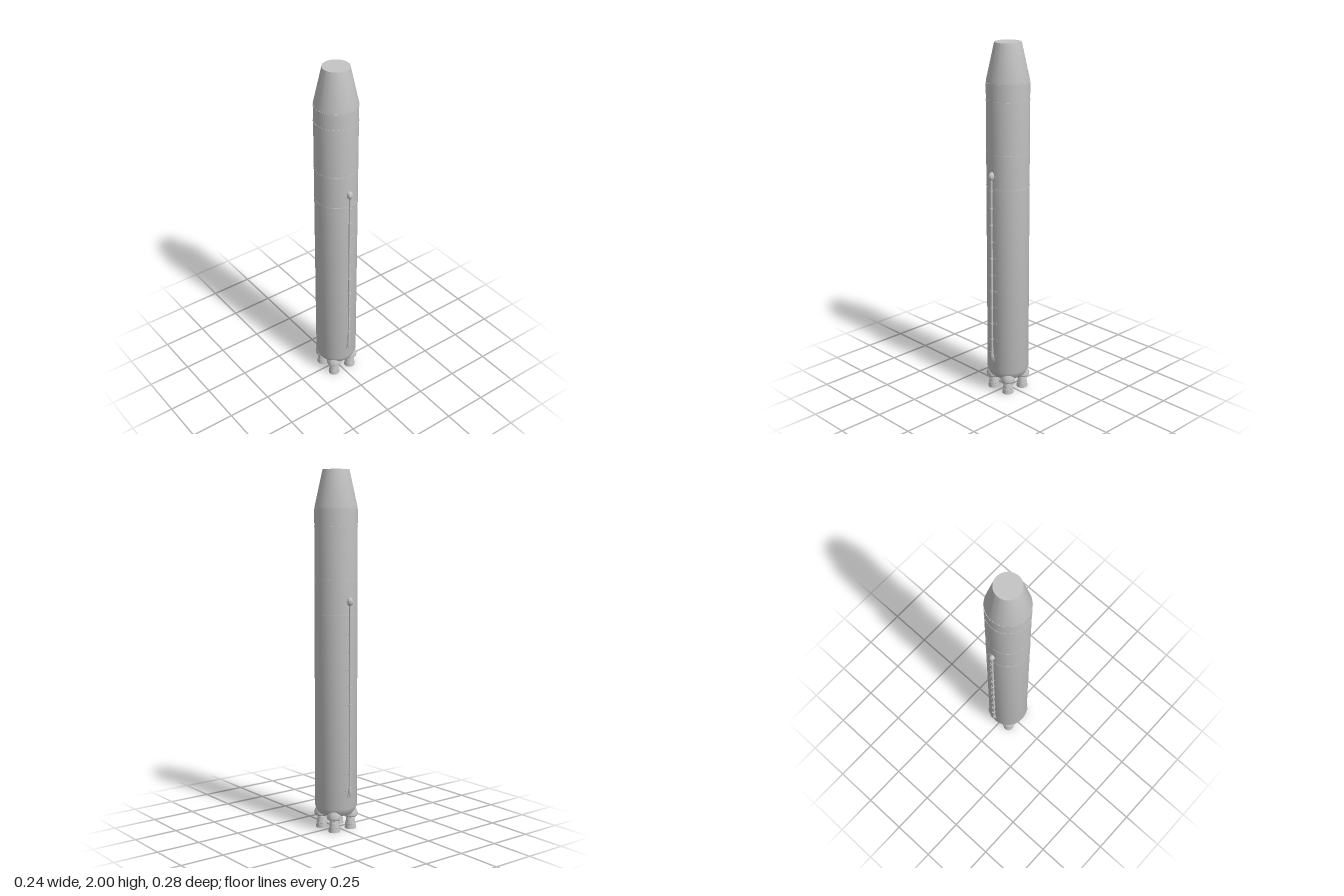
import * as THREE from 'three';
import { toCreasedNormals } from 'three/addons/utils/BufferGeometryUtils.js';

const grey = new THREE.MeshStandardMaterial({ color: 0xc4c4c4 });
grey.name = 'light grey';

function add(parent, name, geometry, x = 0, y = 0, z = 0) {
  const mesh = new THREE.Mesh(geometry, grey);
  mesh.name = name;
  mesh.position.set(x, y, z);
  parent.add(mesh);
  return mesh;
}

// Profile runs from bottom to top
function lathe(points, segments) {
  const profile = points.map(([r, y]) => new THREE.Vector2(r, y));
  return toCreasedNormals(new THREE.LatheGeometry(profile, segments), 0.5);
}

function strut(a, b, radius) {
  const path = new THREE.LineCurve3(new THREE.Vector3(...a), new THREE.Vector3(...b));
  return new THREE.TubeGeometry(path, 1, radius, 8);
}

// Rounded skirt, throat and bell nozzle
function createEngine() {
  const engine = new THREE.Group();
  engine.name = 'engine';
  add(engine, 'engineSkirt', lathe([
    [0, 0.070], [0.034, 0.070], [0.041, 0.077], [0.042, 0.088], [0.036, 0.108], [0.022, 0.135], [0, 0.145],
  ], 28));
  add(engine, 'engineThroat', lathe([[0.024, 0.052], [0.024, 0.06], [0.018, 0.072]], 24));
  add(engine, 'nozzle', lathe([
    [0, 0.052], [0.019, 0.048], [0.026, 0.024], [0.030, 0],
    [0.032, 0], [0.0315, 0.01], [0.028, 0.03], [0.025, 0.052], [0.018, 0.06],
  ], 28));
  add(engine, 'nozzleBand', new THREE.TorusGeometry(0.0285, 0.0015, 6, 24), 0, 0.028, 0).rotation.x = Math.PI / 2;
  return engine;
}

// External feed line with domed head, clamps and forked foot
function createFeedLine() {
  const line = new THREE.Group();
  line.name = 'feedLine';
  add(line, 'pipe', new THREE.CylinderGeometry(0.0065, 0.0065, 1.05, 14), 0, 0.765, 0.126);
  const head = add(line, 'pipeHead', new THREE.SphereGeometry(1, 20, 14), 0, 1.292, 0.121);
  head.scale.set(0.0155, 0.024, 0.0205);
  for (let i = 0; i < 11; i++) {
    const y = 0.24 + i * 0.097;
    add(line, 'clamp', new THREE.CylinderGeometry(0.009, 0.009, 0.007, 12), 0, y, 0.127);
    add(line, 'clampFoot', new THREE.BoxGeometry(0.01, 0.007, 0.012), 0, y, 0.119);
    add(line, 'stud', new THREE.BoxGeometry(0.004, 0.006, 0.006), 0.023, y, 0.117);
  }
  add(line, 'pipeFoot', new THREE.CylinderGeometry(0.009, 0.009, 0.03, 12), 0, 0.245, 0.126);
  for (const s of [-1, 1]) {
    add(line, 'forkLeg', strut([s * 0.004, 0.25, 0.126], [s * 0.008, 0.2, 0.118], 0.004));
  }
  add(line, 'headStud', new THREE.BoxGeometry(0.007, 0.008, 0.008), 0.02, 1.292, 0.117);
  return line;
}

export function createModel() {
  const rocket = new THREE.Group();
  rocket.name = 'rocket';

  // Tank with tapered tail
  add(rocket, 'body', lathe([
    [0, 0.092], [0.095, 0.092], [0.108, 0.108], [0.118, 0.135], [0.118, 1.79], [0, 1.79],
  ], 64));

  // Truncated nose
  add(rocket, 'nose', lathe([[0.117, 1.788], [0.117, 1.798], [0.0725, 2], [0, 2]], 64));

  // Section seams
  for (const y of [1.22, 1.41, 1.695, 1.785]) {
    const r = y > 1.5 ? 0.1195 : 0.1188;
    add(rocket, 'seamRing', lathe([
      [0.117, y - 0.003], [r, y - 0.003], [r, y + 0.003], [0.117, y + 0.003],
    ], 64));
  }

  // Four engines on the diagonals
  for (const x of [-1, 1]) {
    for (const z of [-1, 1]) {
      const engine = createEngine();
      engine.position.set(x * 0.058, 0, z * 0.058);
      rocket.add(engine);
    }
  }

  // Feed lines at front and back
  for (const s of [1, -1]) {
    const line = createFeedLine();
    line.rotation.y = s > 0 ? 0 : Math.PI;
    rocket.add(line);
  }
  // Keep the small studs of both lines on the same side
  rocket.children.at(-1).children.forEach((m) => {
    if (/stud/i.test(m.name)) m.position.x *= -1;
  });

  return rocket;
}
